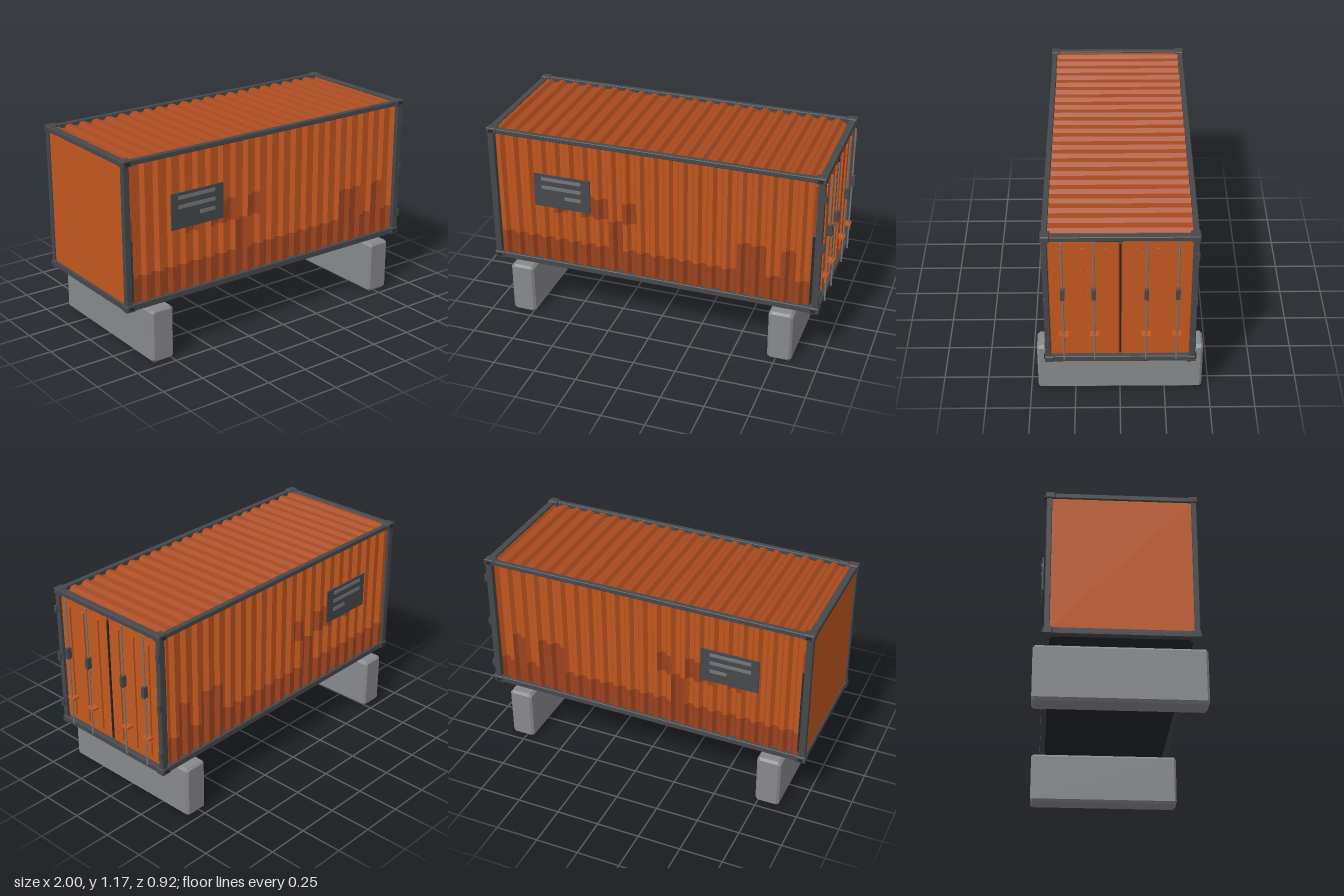
import * as THREE from 'three';

const paint = (name, color, side = THREE.FrontSide) => {
  const m = new THREE.MeshStandardMaterial({ color, side });
  m.name = name;
  return m;
};

// Box from min/max corners
function box(parent, name, mat, x0, x1, y0, y1, z0, z1) {
  const mesh = new THREE.Mesh(new THREE.BoxGeometry(x1 - x0, y1 - y0, z1 - z0), mat);
  mesh.position.set((x0 + x1) / 2, (y0 + y1) / 2, (z0 + z1) / 2);
  mesh.name = name;
  parent.add(mesh);
  return mesh;
}

// Box with every edge chamfered by c
function chamferBox(parent, name, mat, x0, x1, y0, y1, z0, z1, c) {
  const w = (x1 - x0) / 2 - c, h = (y1 - y0) / 2 - c, d = z1 - z0 - 2 * c, k = c * 0.6;
  const shape = new THREE.Shape([
    [-w + k, -h], [w - k, -h], [w, -h + k], [w, h - k],
    [w - k, h], [-w + k, h], [-w, h - k], [-w, -h + k],
  ].map(([x, y]) => new THREE.Vector2(x, y)));
  const geo = new THREE.ExtrudeGeometry(shape, {
    depth: d, bevelEnabled: true, bevelSize: c, bevelThickness: c, bevelSegments: 1,
  });
  geo.translate(0, 0, -d / 2);
  const mesh = new THREE.Mesh(geo, mat);
  mesh.position.set((x0 + x1) / 2, (y0 + y1) / 2, (z0 + z1) / 2);
  mesh.name = name;
  parent.add(mesh);
  return mesh;
}

// Trapezoid corrugated sheet, folds along y, split into rows; isRust(column, row) picks material 1
function corrugated(x0, x1, count, rows, depth, side, isRust) {
  const pitch = (x1 - x0) / count;
  const profile = [[0, 0], [0.3, 0], [0.5, -depth], [0.8, -depth], [1, 0]];
  const cells = [[], []];
  for (let c = 0; c < count; c++) {
    for (let r = 0; r + 1 < rows.length; r++) {
      const out = cells[isRust(c, r) ? 1 : 0];
      for (let i = 0; i < 4; i++) {
        const [a, b] = [profile[i], profile[i + 1]];
        const p = (q, y) => [x0 + (c + q[0]) * pitch, y, q[1] * side];
        const quad = [p(a, rows[r]), p(b, rows[r]), p(b, rows[r + 1]), p(a, rows[r + 1])];
        const order = side > 0 ? [0, 1, 2, 0, 2, 3] : [0, 2, 1, 0, 3, 2];
        order.forEach((k) => out.push(...quad[k]));
      }
    }
  }
  const geo = new THREE.BufferGeometry();
  geo.setAttribute('position', new THREE.Float32BufferAttribute(cells.flat(), 3));
  geo.addGroup(0, cells[0].length / 3, 0);
  if (cells[1].length) geo.addGroup(cells[0].length / 3, cells[1].length / 3, 1);
  geo.computeVertexNormals();
  return geo;
}

export function createModel() {
  const root = new THREE.Group();
  root.name = 'shippingContainer';
  const orange = paint('orange paint', 0xc4581f);
  const wallOrange = paint('wall orange', 0xc0561f, THREE.DoubleSide);
  const rust = paint('rust', 0x9c431e, THREE.DoubleSide);
  const roofOrange = paint('roof orange', 0xa84a1f, THREE.DoubleSide);
  const frameMat = paint('frame grey', 0x47484b);
  const dark = paint('dark grey', 0x252629);
  const steel = paint('steel', 0x75787b);
  const concrete = paint('concrete', 0x88898c);

  // Concrete sleepers
  for (const x of [-0.805, 0.772])
    chamferBox(root, 'sleeper', concrete, x - 0.071, x + 0.071, 0, 0.313, -0.46, 0.46, 0.013);

  // Frame: rails, posts, cross beams and corner castings
  const frame = new THREE.Group();
  frame.name = 'frame';
  root.add(frame);
  const ends = [[-0.995, -0.957], [0.93, 0.968]];
  for (const s of [1, -1]) {
    const z0 = Math.min(s * 0.405, s * 0.375), z1 = Math.max(s * 0.405, s * 0.375);
    chamferBox(frame, 'topRail', frameMat, -0.97, 0.94, 1.135, 1.163, z0, z1, 0.003);
    chamferBox(frame, 'bottomRail', frameMat, -0.97, 0.94, 0.317, 0.352, z0, z1, 0.003);
    for (const [x0, x1] of ends) {
      chamferBox(frame, 'post', frameMat, x0, x1, 0.33, 1.15, z0, z1, 0.003);
      const cx = x0 < 0 ? [-1, -0.938] : [0.911, 0.973];
      for (const [y0, y1] of [[0.315, 0.355], [1.131, 1.168]]) {
        const c0 = Math.min(s * 0.41, s * 0.36), c1 = Math.max(s * 0.41, s * 0.36);
        chamferBox(frame, 'cornerCasting', frameMat, cx[0], cx[1], y0, y1, c0, c1, 0.004);
        const mx = (cx[0] + cx[1]) / 2, my = (y0 + y1) / 2;
        box(frame, 'castingSlot', dark, mx - 0.014, mx + 0.014, my - 0.007, my + 0.007,
          s * 0.411 - 0.004, s * 0.411 + 0.004);
      }
    }
  }
  for (const [x0, x1] of ends) {
    chamferBox(frame, 'topBeam', frameMat, x0, x1, 1.133, 1.163, -0.39, 0.39, 0.003);
    chamferBox(frame, 'bottomBeam', frameMat, x0, x1, 0.317, 0.354, -0.39, 0.39, 0.003);
  }
  box(root, 'floor', dark, -0.96, 0.935, 0.324, 0.345, -0.378, 0.378);
  box(root, 'endWall', orange, -0.985, -0.97, 0.35, 1.137, -0.378, 0.378);

  // Corrugated side walls with rust, and roof
  const rustColumns = [null, [8, 17, 18, 20], [4, 6, 7, 9], []];
  const isRust = (c, r) => r === 0 || rustColumns[r].includes(c);
  for (const s of [1, -1]) {
    const wall = new THREE.Mesh(
      corrugated(-0.945, 0.914, 22, [0.345, 0.5, 0.68, 0.81, 1.14], 0.025, s, isRust),
      [wallOrange, rust]);
    wall.position.z = s * 0.397;
    wall.name = 'sideWall';
    root.add(wall);
  }
  const roof = new THREE.Mesh(
    corrugated(-0.96, 0.935, 22, [-0.38, 0.38], 0.02, 1, () => false), [roofOrange]);
  roof.rotation.x = -Math.PI / 2;
  roof.position.y = 1.155;
  roof.name = 'roof';
  root.add(roof);

  // Sign boards with plain bars
  for (const s of [1, -1]) {
    const sign = new THREE.Group();
    sign.name = 'signBoard';
    sign.position.z = s * 0.416;
    root.add(sign);
    box(sign, 'board', frameMat, -0.71, -0.37, 0.725, 0.93, -0.004, 0.004);
    for (const [x, y] of [[-0.665, 0.903], [-0.665, 0.85], [-0.525, 0.796]])
      box(sign, 'signBar', steel, x, -0.425, y - 0.01, y + 0.01, s * 0.005 - 0.003, s * 0.005 + 0.003);
  }

  // Doors at the +x end
  const doors = new THREE.Group();
  doors.name = 'doors';
  root.add(doors);
  box(doors, 'doorBacking', rust, 0.932, 0.942, 0.35, 1.137, -0.376, 0.376);
  box(doors, 'centreSeal', dark, 0.94, 0.957, 0.375, 1.105, -0.005, 0.005);
  for (const s of [1, -1]) {
    const at = (name, mat, x0, x1, y0, y1, z, w) =>
      box(doors, name, mat, x0, x1, y0, y1, s * z - w / 2, s * z + w / 2);
    at('doorLeaf', orange, 0.94, 0.953, 0.365, 1.122, 0.19, 0.362);
    for (const z of [0.307, 0.195, 0.081])
      at('doorRib', orange, 0.95, 0.963, 0.4, 1.085, z, 0.018);
    for (const z of [0.302, 0.138]) {
      const bar = new THREE.Mesh(new THREE.CylinderGeometry(0.005, 0.005, 0.79, 10), steel);
      bar.position.set(0.983, 0.745, s * z);
      bar.name = 'lockBar';
      doors.add(bar);
      at('lockHandle', frameMat, 0.972, 1, 0.775, 0.84, z, 0.022);
      at('lockLever', orange, 0.953, 0.994, 0.512, 0.524, z, 0.05);
    }
    for (const y of [1.04, 0.743, 0.447])
      at('hinge', frameMat, 0.96, 0.98, y - 0.022, y + 0.022, 0.397, 0.02);
  }
  return root;
}
